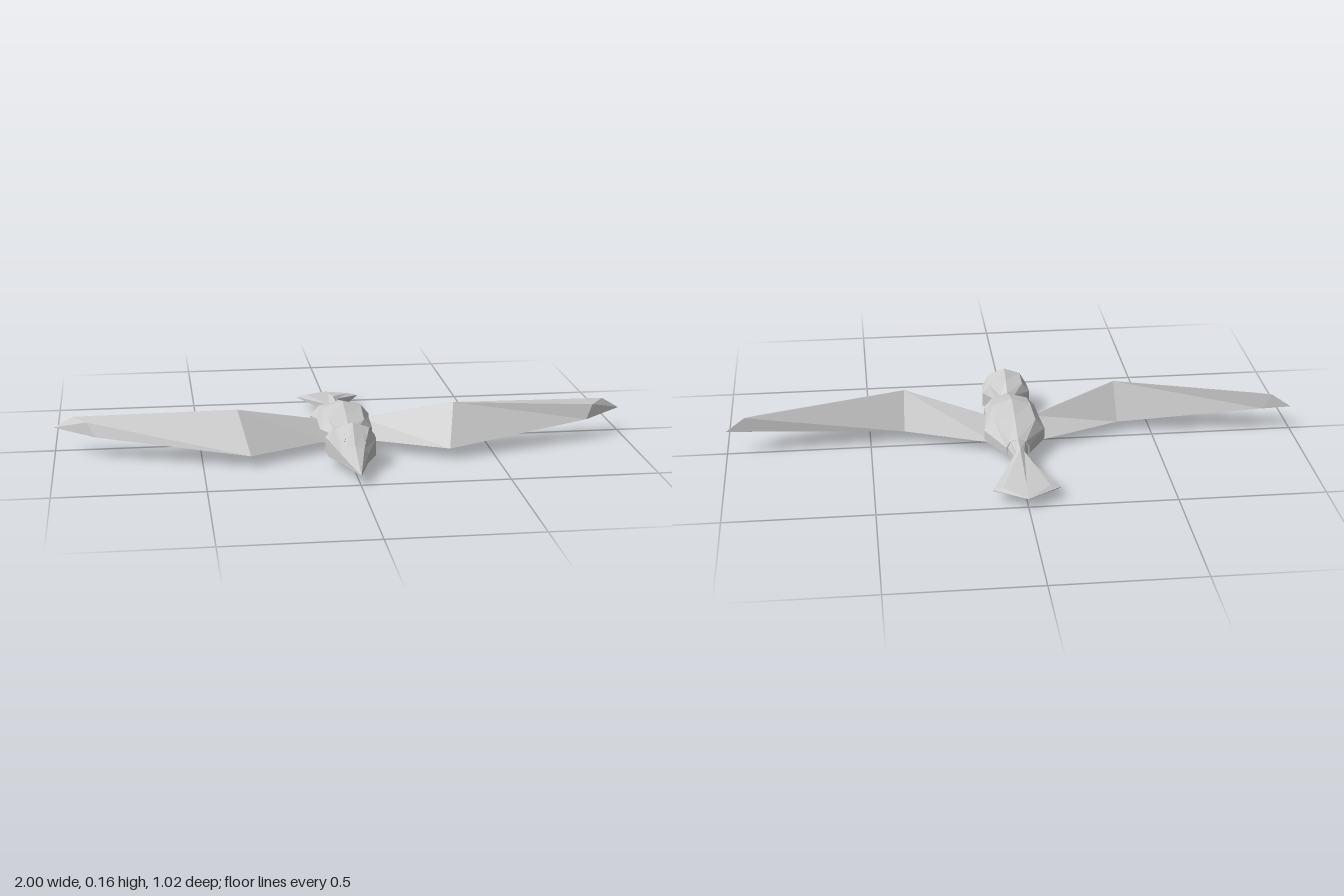
import * as THREE from 'three';

const material = new THREE.MeshStandardMaterial({ color: 0xcccccc, flatShading: true });

// Skin a list of closed rings, each an array of [x, y, z]
function loft(rings) {
  const n = rings[0].length;
  const index = [];
  for (let i = 0; i < rings.length - 1; i++) {
    for (let j = 0; j < n; j++) {
      const k = (j + 1) % n;
      const a = i * n + j, b = i * n + k, c = (i + 1) * n + k, d = (i + 1) * n + j;
      index.push(a, b, c, a, c, d);
    }
  }
  const geometry = new THREE.BufferGeometry();
  geometry.setAttribute('position', new THREE.Float32BufferAttribute(rings.flat(2), 3));
  geometry.setIndex(index);
  geometry.computeVertexNormals();
  return geometry;
}

// Symmetric faceted ring: half width w, keel, lower side, upper side and top heights
function bodyRing([z, w, keel, low, mid, top]) {
  const shoulder = mid + 0.68 * (top - mid);
  return [
    [0, keel, z], [w, low, z], [w, mid, z], [0.7 * w, shoulder, z],
    [0, top, z], [-0.7 * w, shoulder, z], [-w, mid, z], [-w, low, z],
  ];
}

function addMesh(parent, name, geometry) {
  const mesh = new THREE.Mesh(geometry, material);
  mesh.name = name;
  parent.add(mesh);
  return mesh;
}

export function createModel() {
  const bird = new THREE.Group();
  bird.name = 'bird';

  // Fanned tail with a pointed end
  addMesh(bird, 'tail', loft([
    [-0.51, 0, 0.034, 0.034, 0.035, 0.035],
    [-0.44, 0.112, 0.034, 0.034, 0.037, 0.05],
    [-0.25, 0.02, 0.035, 0.035, 0.06, 0.09],
    [-0.175, 0.035, 0.035, 0.035, 0.06, 0.09],
  ].map(bodyRing)));

  // Flat-bellied body, narrowing to the neck
  addMesh(bird, 'body', loft([
    [-0.175, 0.04, 0.035, 0.035, 0.06, 0.09],
    [-0.065, 0.105, 0.035, 0.035, 0.075, 0.128],
    [0.025, 0.092, 0.035, 0.035, 0.09, 0.15],
    [0.12, 0.09, 0.035, 0.035, 0.08, 0.125],
    [0.19, 0.035, 0.032, 0.035, 0.07, 0.1],
  ].map(bodyRing)));

  // Head with a keeled throat
  addMesh(bird, 'head', loft([
    [0.185, 0.035, 0.032, 0.035, 0.07, 0.1],
    [0.23, 0.085, 0.004, 0.035, 0.085, 0.13],
    [0.29, 0.08, 0, 0.033, 0.09, 0.152],
    [0.357, 0.045, 0.02, 0.03, 0.06, 0.088],
  ].map(bodyRing)));

  // Beak tapering to a point
  addMesh(bird, 'beak', loft([
    [0.357, 0.045, 0.02, 0.03, 0.06, 0.088],
    [0.51, 0, 0.034, 0.034, 0.035, 0.036],
  ].map(bodyRing)));

  // Wing rings from root to tip: rear edge, rear crest, ridge, leading edge
  const wingRings = [
    [[0.07, 0.035, -0.085], [0.07, 0.085, 0.02], [0.07, 0.085, 0.025], [0.07, 0.035, 0.12]],
    [[0.38, 0.036, 0.04], [0.375, 0.16, 0.119], [0.375, 0.16, 0.121], [0.34, 0.036, 0.26]],
    [[0.9, 0.077, 0.008], [0.935, 0.126, 0.018], [0.89, 0.116, 0.06], [0.86, 0.071, 0.092]],
    [[1, 0.084, 0], [1, 0.085, 0], [1, 0.085, 0.001], [1, 0.084, 0.001]],
  ];
  for (const side of [1, -1]) {
    const rings = wingRings.map((ring) => {
      const points = ring.map(([x, y, z]) => [side * x, y, z]);
      return side > 0 ? points : points.reverse();
    });
    addMesh(bird, side > 0 ? 'leftWing' : 'rightWing', loft(rings));

    // Small eye set on the sloping forehead
    const eye = addMesh(bird, side > 0 ? 'leftEye' : 'rightEye',
      new THREE.BoxGeometry(0.012, 0.026, 0.008));
    eye.position.set(side * 0.035, 0.107, 0.323);
    eye.rotation.set(-0.75, side * 0.3, 0);
  }

  return bird;
}
